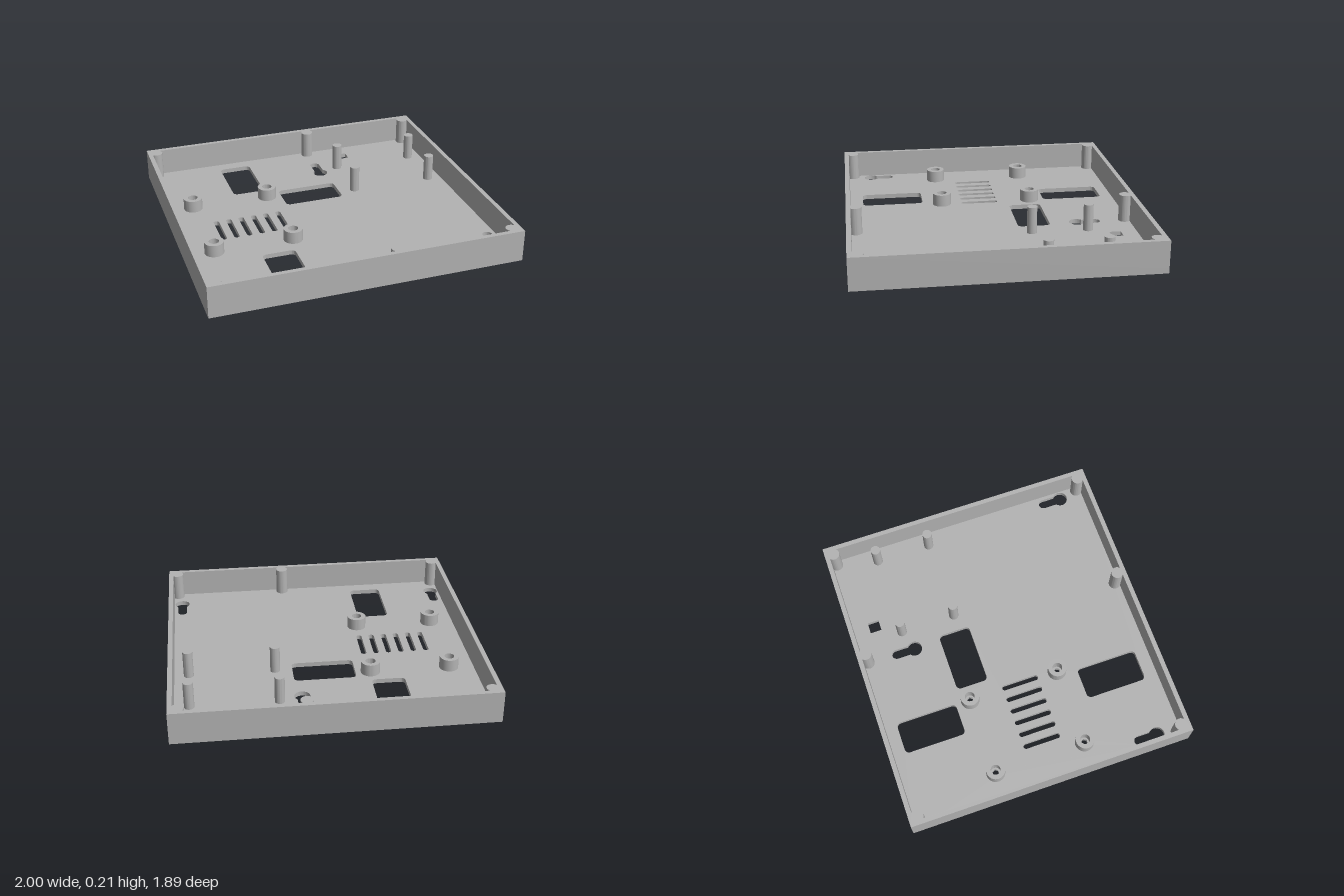
import * as THREE from 'three';
import { toCreasedNormals } from 'three/addons/utils/BufferGeometryUtils.js';

const HEIGHT = 0.21, FLOOR = 0.03, HALF_W = 1, HALF_D = 0.945;
const grey = new THREE.MeshStandardMaterial({ color: 0xb3b3b3 });
grey.name = 'grey plastic';

// Plan outlines use (x, -z), so that extruding runs upwards.
function slab(name, shape, bottom, top) {
  const g = new THREE.ExtrudeGeometry(shape, { depth: top - bottom, bevelEnabled: false, curveSegments: 20 });
  g.rotateX(-Math.PI / 2);
  g.translate(0, bottom, 0);
  const mesh = new THREE.Mesh(toCreasedNormals(g, 0.6), grey);
  mesh.name = name;
  return mesh;
}

function roundedRect(x0, x1, z0, z1, r, Type = THREE.Path) {
  const p = new Type(), a = -z1, b = -z0, q = Math.PI / 2;
  if (r === 0) {
    p.moveTo(x0, a).lineTo(x1, a).lineTo(x1, b).lineTo(x0, b).closePath();
    return p;
  }
  p.absarc(x1 - r, a + r, r, -q, 0, false);
  p.absarc(x1 - r, b - r, r, 0, q, false);
  p.absarc(x0 + r, b - r, r, q, 2 * q, false);
  p.absarc(x0 + r, a + r, r, 2 * q, 3 * q, false);
  p.closePath();
  return p;
}

function circle(x, z, r, Type = THREE.Path) {
  const p = new Type();
  p.absarc(x, -z, r, 0, Math.PI * 2, false);
  return p;
}

function hexagon(x, z, r) {
  const p = new THREE.Path();
  p.setFromPoints(Array.from({ length: 6 }, (_, i) =>
    new THREE.Vector2(x + r * Math.cos(i * Math.PI / 3), -z + r * Math.sin(i * Math.PI / 3))));
  p.closePath();
  return p;
}

// Round head with a narrower slot running towards the back
function keyhole(x, z) {
  const p = new THREE.Path(), head = 0.05, neck = 0.032, a = Math.acos(neck / head);
  p.absarc(x, -z, head, Math.PI - a, 2 * Math.PI + a, false);
  p.absarc(x, -z + 0.125, neck, 0, Math.PI, false);
  p.closePath();
  return p;
}

// Inside outline of the wall, bitten into by six screw bosses
function cavity() {
  const p = new THREE.Path(), r = 0.04, x = 0.94, y = 0.885, mid = 0.18;
  const s = Math.acos(0.75), t = Math.asin(0.75), q = Math.PI / 2;
  const corner = (cx, cy, k) => p.absarc(cx, cy, r, Math.PI - s + k * q, -t + k * q, true);
  const middle = (cy, turn) => p.absarc(mid, cy, r, Math.PI + t + turn, -t + turn, true);
  corner(-x, -y, 0);
  middle(-y, 0);
  corner(x, -y, 1);
  corner(x, y, 2);
  middle(y, Math.PI);
  corner(-x, y, 3);
  p.closePath();
  return p;
}

export function createModel() {
  const model = new THREE.Group();
  model.name = 'enclosureBase';
  const outline = () => roundedRect(-HALF_W, HALF_W, -HALF_D, HALF_D, 0, THREE.Shape);
  const standoffs = [];
  for (const x of [-0.807, -0.29]) for (const z of [-0.325, 0.287]) standoffs.push([x, z]);

  // Floor with cable openings, vents, keyholes and screw holes
  const floor = outline();
  floor.holes.push(
    roundedRect(-0.497, -0.283, -0.835, -0.425, 0.03),
    roundedRect(-0.193, 0.209, -0.382, -0.168, 0.03),
    roundedRect(-0.535, -0.321, 0.418, 0.828, 0.03),
    roundedRect(0.38, 0.455, -0.81, -0.735, 0),
    keyhole(0.177, -0.563), keyhole(-0.915, 0.755), keyhole(0.915, 0.755),
  );
  for (let i = 0; i < 6; i++) {
    const x = -0.707 + i * 0.0844;
    floor.holes.push(roundedRect(x - 0.018, x + 0.018, -0.098, 0.153, 0.0179));
  }
  for (const [x, z] of standoffs) floor.holes.push(hexagon(x, z, 0.022));
  model.add(slab('floor', floor, 0, FLOOR));

  // Surrounding wall with its bosses
  const wall = outline();
  wall.holes.push(cavity());
  model.add(slab('wall', wall, FLOOR, HEIGHT));

  // Hollow board standoffs
  for (const [x, z] of standoffs) {
    const ring = circle(x, z, 0.062, THREE.Shape);
    ring.holes.push(circle(x, z, 0.032));
    model.add(slab('standoff', ring, FLOOR, 0.11));
  }

  // Tall slim support posts
  for (const x of [0.32, 0.877]) for (const z of [-0.607, -0.238]) {
    model.add(slab('supportPost', circle(x, z, 0.032, THREE.Shape), FLOOR, 0.208));
  }
  return model;
}
